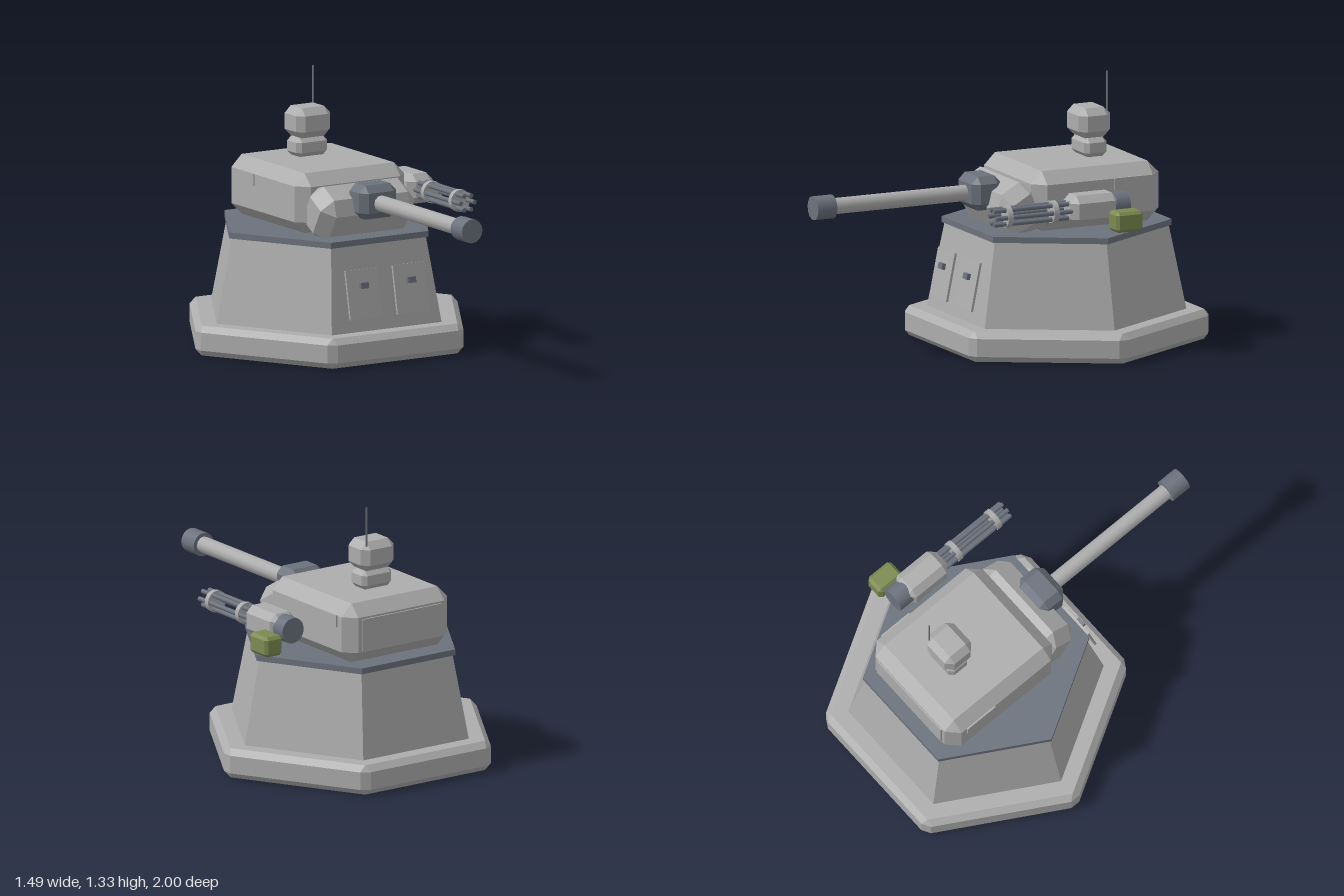
import * as THREE from 'three';
import { ConvexGeometry } from 'three/addons/geometries/ConvexGeometry.js';

export function createModel() {
  const model = new THREE.Group();
  model.name = 'gunTurret';

  const mat = (name, color) => {
    const m = new THREE.MeshStandardMaterial({ color });
    m.name = name;
    return m;
  };
  const grey = mat('armourGrey', 0xadadad);
  const steel = mat('darkSteel', 0x6c727d);
  const green = mat('ammoGreen', 0x7c8a50);

  const add = (name, geometry, material, x = 0, y = 0, z = 0, parent = model) => {
    const mesh = new THREE.Mesh(geometry, material);
    mesh.name = name;
    mesh.position.set(x, y, z);
    parent.add(mesh);
    return mesh;
  };

  // Box with every edge and corner cut by a flat bevel
  const bevelBox = (w, h, d, b) => {
    const pts = [];
    const s = [w / 2, h / 2, d / 2];
    for (const sx of [-1, 1]) for (const sy of [-1, 1]) for (const sz of [-1, 1])
      for (let full = 0; full < 3; full++) {
        const c = s.map((v, i) => (i === full ? v : v - b));
        pts.push(new THREE.Vector3(sx * c[0], sy * c[1], sz * c[2]));
      }
    return new ConvexGeometry(pts);
  };

  // Six-sided prism with a flat face to the front
  const hexPrism = (rTop, rBottom, h) =>
    new THREE.CylinderGeometry(rTop, rBottom, h, 6, 1, false, Math.PI / 6).toNonIndexed();
  const flatHex = (rTop, rBottom, h) => {
    const g = hexPrism(rTop, rBottom, h);
    g.computeVertexNormals();
    return g;
  };

  // Six-sided foot with bevelled edges and corners
  const bevelHex = (apothem, h, b) => {
    const pts = [];
    const k = 1 / Math.cos(Math.PI / 6);
    const corner = (i, a) => {
      const t = (i * Math.PI) / 3;
      return new THREE.Vector3(Math.cos(t) * a * k, 0, Math.sin(t) * a * k);
    };
    for (let i = 0; i < 6; i++) {
      const p = corner(i, apothem);
      const q = corner(i + 1, apothem);
      const along = q.clone().sub(p).setLength(b);
      for (const s of [-1, 1]) {
        pts.push(corner(i, apothem - b).setY(s * h / 2));
        pts.push(p.clone().add(along).setY(s * (h / 2 - b)));
        pts.push(q.clone().sub(along).setY(s * (h / 2 - b)));
      }
    }
    return new ConvexGeometry(pts);
  };

  // Cylinder lying along z
  const rod = (r, length, sides) =>
    new THREE.CylinderGeometry(r, r, length, sides).rotateX(Math.PI / 2);

  const cz = -0.34; // pedestal axis

  // Pedestal
  add('foot', bevelHex(0.66, 0.15, 0.03), grey, 0, 0.075, cz);
  add('tower', flatHex(0.553, 0.641, 0.425), grey, 0, 0.3575, cz);
  add('deck', flatHex(0.567, 0.567, 0.03), steel, 0, 0.585, cz);

  // Access doors with handles on the sloping front
  for (const s of [-1, 1]) {
    const door = new THREE.Group();
    door.name = 'accessDoor';
    door.position.set(s * 0.1375, 0.34, 0.216);
    door.rotation.x = -0.2;
    model.add(door);
    add('doorPlate', new THREE.BoxGeometry(0.185, 0.245, 0.012), grey, 0, 0, 0, door);
    add('doorHandle', new THREE.BoxGeometry(0.045, 0.03, 0.022), steel, 0, 0.04, 0.014, door);
  }

  // Turret body, tilted front armour and thin panels
  add('turretBody', bevelBox(0.64, 0.3, 0.7, 0.06), grey, 0, 0.75, -0.42);
  add('frontArmour', bevelBox(0.55, 0.26, 0.23, 0.06), grey, 0, 0.705, -0.043)
    .rotation.x = Math.PI / 6;
  for (const s of [-1, 1])
    add('sidePanel', new THREE.BoxGeometry(0.009, 0.06, 0.18), grey, s * 0.322, 0.812, -0.585);
  add('rearPanel', new THREE.BoxGeometry(0.48, 0.16, 0.009), grey, 0, 0.75, -0.773);

  // Main gun
  add('mantlet', bevelBox(0.214, 0.17, 0.16, 0.035), steel, 0, 0.775, 0.085);
  add('mainBarrel', rod(0.041, 0.8, 12), grey, 0, 0.77, 0.52);
  add('muzzle', rod(0.06, 0.105, 16), steel, 0, 0.77, 0.9475);

  // Sensor head and antenna
  add('sensorNeck', bevelBox(0.18, 0.095, 0.125, 0.022), grey, 0, 0.95, -0.518);
  add('sensorHead', bevelBox(0.2, 0.15, 0.172, 0.035), grey, 0, 1.073, -0.515);
  add('antenna', new THREE.CylinderGeometry(0.005, 0.005, 0.2, 6), steel, 0.075, 1.23, -0.58);

  // Rotary gun beside the turret
  const rotary = new THREE.Group();
  rotary.name = 'rotaryGun';
  rotary.position.set(0.455, 0.737, 0);
  model.add(rotary);
  add('rotaryHousing', bevelBox(0.15, 0.15, 0.265, 0.035), grey, 0, 0, -0.3, rotary);
  add('rotaryMotor', rod(0.065, 0.09, 16), steel, 0, 0.005, -0.445, rotary);
  for (let i = 0; i < 6; i++) {
    const a = (i * Math.PI) / 3;
    add('rotaryBarrel', rod(0.012, 0.43, 8), steel,
      Math.cos(a) * 0.04, Math.sin(a) * 0.04, 0.028, rotary);
  }
  for (const z of [-0.09, 0.163])
    add('barrelClamp', rod(0.056, 0.027, 16), grey, 0, 0, z, rotary);

  // Ammunition box
  add('ammoBox', bevelBox(0.105, 0.102, 0.148, 0.015), green, 0.578, 0.684, -0.433);

  return model;
}
